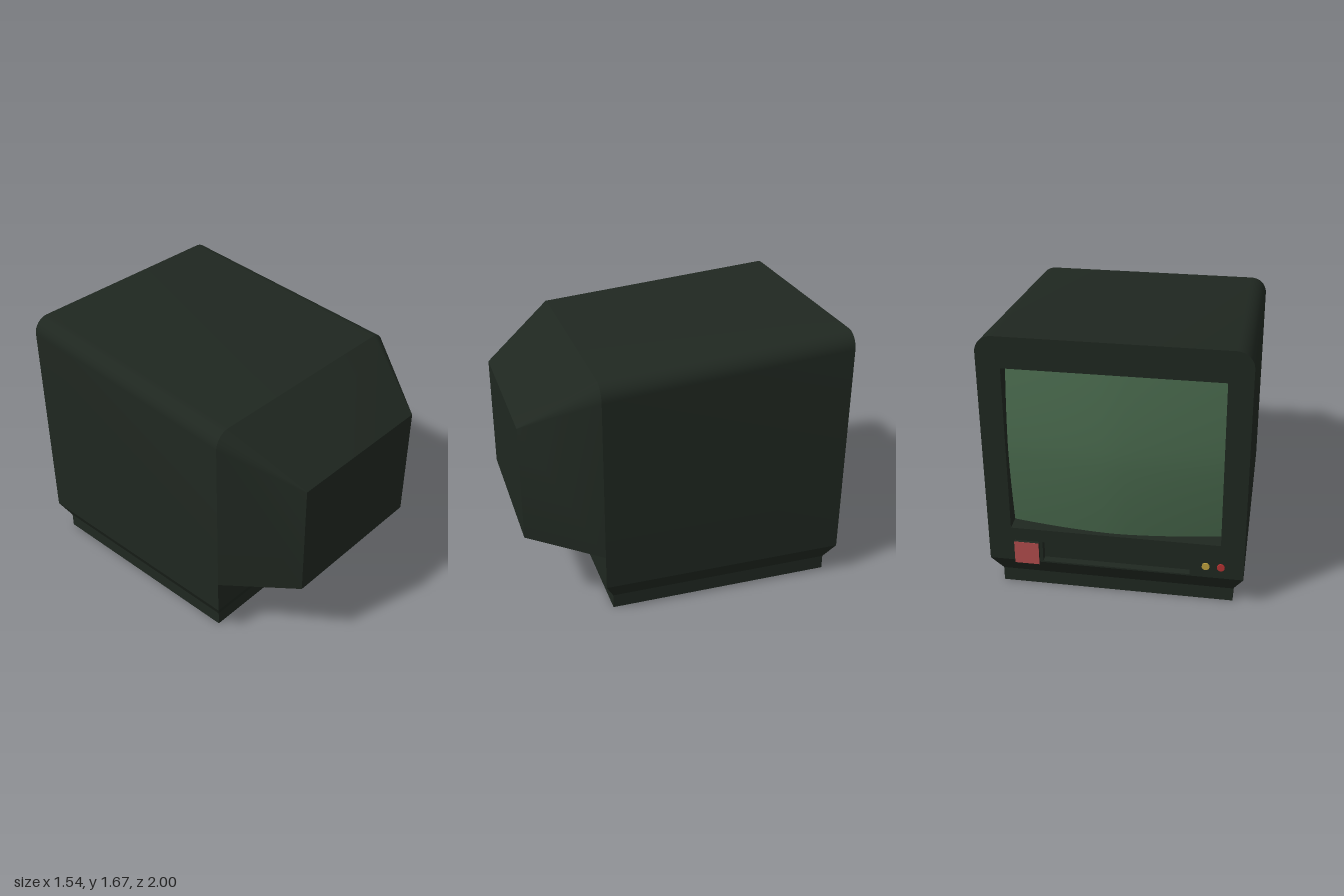
import * as THREE from 'three';
import { toCreasedNormals } from 'three/addons/utils/BufferGeometryUtils.js';

const mat = (color, side = THREE.FrontSide) =>
  new THREE.MeshStandardMaterial({ color, side });

// Skin a list of equal-length rings of [x, y, z]; optional caps at both ends
function loft(rings, capStart = false, capEnd = false) {
  const n = rings[0].length, index = [];
  for (let i = 0; i < rings.length - 1; i++) {
    for (let j = 0; j < n; j++) {
      const k = (j + 1) % n;
      const a = i * n + j, b = i * n + k, c = b + n, d = a + n;
      index.push(a, b, c, a, c, d);
    }
  }
  const last = (rings.length - 1) * n;
  for (let j = 1; j < n - 1; j++) {
    if (capStart) index.push(0, j + 1, j);
    if (capEnd) index.push(last, last + j, last + j + 1);
  }
  const g = new THREE.BufferGeometry();
  g.setAttribute('position', new THREE.Float32BufferAttribute(rings.flat(2), 3));
  g.setIndex(index);
  return toCreasedNormals(g, 0.45);
}

// Section with square bottom and rounded top corners
function section(w, bottom, top, r, z) {
  const ring = [[-w, bottom, z], [w, bottom, z]], steps = 8;
  for (const [side, start] of [[1, 0], [-1, Math.PI / 2]]) {
    for (let i = 0; i <= steps; i++) {
      const t = start + (i / steps) * Math.PI / 2;
      ring.push([side * (w - r) + r * Math.cos(t), top - r + r * Math.sin(t), z]);
    }
  }
  return ring;
}

// Horizontal rectangle and upright rectangle rings
const flatRect = (w, y, zFront, zBack) =>
  [[w, y, zFront], [w, y, zBack], [-w, y, zBack], [-w, y, zFront]];
const uprightRect = ({ x0, x1, y0, y1 }, z) =>
  [[x0, y0, z], [x1, y0, z], [x1, y1, z], [x0, y1, z]];

export function createModel() {
  const model = new THREE.Group();
  const shell = mat(0x1f2720);
  const shellDouble = mat(0x1f2720, THREE.DoubleSide);
  const add = (name, geometry, material, x = 0, y = 0, z = 0) => {
    const mesh = new THREE.Mesh(geometry, material);
    mesh.name = name;
    mesh.position.set(x, y, z);
    model.add(mesh);
    return mesh;
  };

  const face = -0.98, W = 0.77;
  const opening = { x0: -0.63, x1: 0.63, y0: 0.43, y1: 1.48 };
  const slot = { x0: -0.45, x1: 0.44, y0: 0.21, y1: 0.345 };

  // Cabinet, with its top sloping away from the screen
  add('cabinet', loft([
    section(W, 0.2, 1.67, 0.1, face),
    section(W, 0.2, 1.54, 0.1, 0.56),
  ], false, true), shell);

  // Tapered housing for the picture tube
  add('tubeHousing', loft([
    section(W, 0.42, 1.54, 0.1, 0.56),
    section(0.51, 0.49, 1.23, 0.003, 1),
  ], false, true), shell);

  // Plinth with a chamfer up to the cabinet
  add('plinth', loft([
    flatRect(0.71, 0, 0.505, -0.92),
    flatRect(0.71, 0.09, 0.505, -0.92),
    flatRect(W, 0.2, 0.56, face),
  ], true), shell);

  // Bezel around the screen and tape slot, drawn mirrored then turned to -z
  const bezel = new THREE.Shape(
    section(W, 0.2, 1.67, 0.1, 0).map(([x, y]) => new THREE.Vector2(x, y)));
  for (const h of [opening, slot]) {
    bezel.holes.push(new THREE.Path(
      uprightRect(h, 0).map(([x, y]) => new THREE.Vector2(-x, y))));
  }
  add('bezel', new THREE.ShapeGeometry(bezel).rotateY(Math.PI), shell, 0, 0, face);

  // Recess walls behind the openings; the slot is closed by its door
  add('screenRecess', loft([uprightRect(opening, face), uprightRect(opening, -0.86)]),
    shellDouble);
  add('tapeSlot', loft([uprightRect(slot, face), uprightRect(slot, -0.935)], false, true),
    shellDouble);

  // Bulging screen glass
  const sw = opening.x1 - opening.x0, sh = opening.y1 - opening.y0;
  const glass = new THREE.PlaneGeometry(sw, sh, 20, 20);
  const p = glass.attributes.position;
  for (let i = 0; i < p.count; i++) {
    const u = Math.abs(p.getX(i)) / (sw / 2), v = Math.abs(p.getY(i)) / (sh / 2);
    p.setZ(i, 1 - 0.07 * u ** 1.6 - 0.05 * v ** 1.6);
  }
  glass.computeVertexNormals();
  add('screen', glass.rotateY(Math.PI), mat(0x48684c),
    0, (opening.y0 + opening.y1) / 2, 0);

  // Square badge plate with a red face
  add('plateBase', new THREE.BoxGeometry(0.15, 0.15, 0.038), shell, 0.535, 0.27, -0.979);
  add('redPlate', new THREE.BoxGeometry(0.15, 0.15, 0.002), mat(0xb04c4c),
    0.535, 0.27, -0.999);

  // Round buttons
  for (const [name, x, color] of [['yellowButton', -0.545, 0xb89c3c],
    ['redButton', -0.635, 0xb03030]]) {
    add(name, new THREE.CylinderGeometry(0.023, 0.023, 0.03, 20).rotateX(Math.PI / 2),
      mat(color), x, 0.28, -0.975);
  }
  return model;
}
